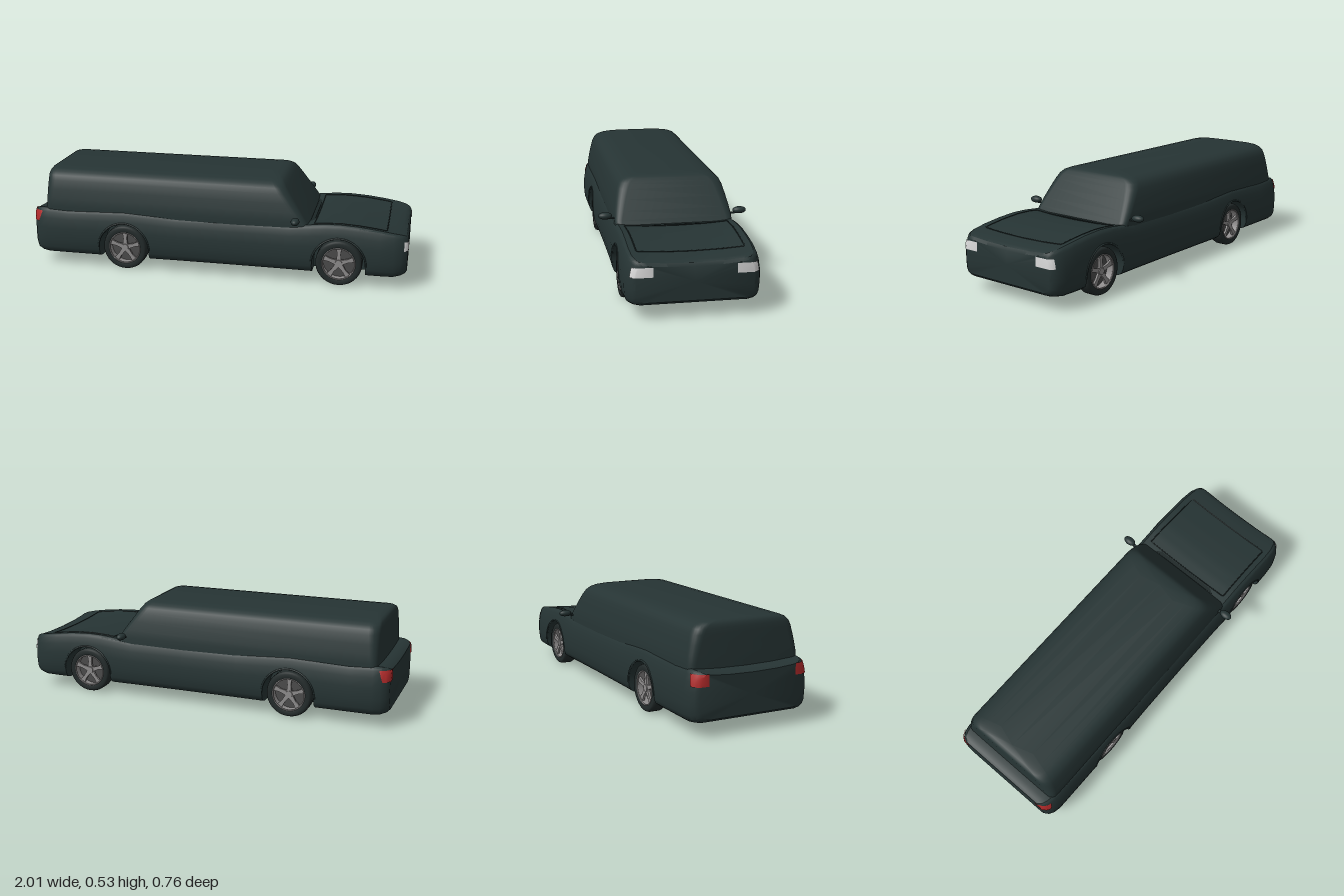
import * as THREE from 'three';
import { toCreasedNormals } from 'three/addons/utils/BufferGeometryUtils.js';

const mat = (name, color, side = THREE.FrontSide) => {
  const m = new THREE.MeshStandardMaterial({ color, side });
  m.name = name;
  return m;
};

// Linear lookup in rows of [key, value, value...]
function lookup(rows, k) {
  if (k <= rows[0][0]) return rows[0].slice(1);
  for (let i = 1; i < rows.length; i++) {
    if (k <= rows[i][0]) {
      const a = rows[i - 1], b = rows[i], f = (k - a[0]) / (b[0] - a[0]);
      return a.slice(1).map((v, n) => v + (b[n + 1] - v) * f);
    }
  }
  return rows[rows.length - 1].slice(1);
}

// Skin over a list of equal-length point rows
function loft(rows, closed, crease) {
  const n = rows[0].length, pos = rows.flat(2), index = [];
  for (let i = 0; i < rows.length - 1; i++) {
    for (let j = 0; j < (closed ? n : n - 1); j++) {
      const a = i * n + j, d = i * n + (j + 1) % n;
      index.push(a, d, a + n, a + n, d, d + n);
    }
  }
  const g = new THREE.BufferGeometry();
  g.setAttribute('position', new THREE.Float32BufferAttribute(pos, 3));
  g.setIndex(index);
  return toCreasedNormals(g, crease);
}

// Stations along the car: x, width scale, underside y, top y
const STATIONS = [
  [-1, 0.86, 0.085, 0.298], [-0.985, 0.93, 0.072, 0.308], [-0.96, 0.975, 0.064, 0.314],
  [-0.92, 1, 0.06, 0.316], [-0.8, 1, 0.06, 0.31], [-0.62, 1, 0.06, 0.316],
  [-0.49, 1, 0.06, 0.32], [-0.34, 1, 0.06, 0.312], [-0.2, 0.99, 0.06, 0.303],
  [0.1, 0.985, 0.06, 0.303], [0.4, 0.99, 0.06, 0.304], [0.5, 1, 0.06, 0.316],
  [0.58, 1, 0.06, 0.324], [0.66, 1, 0.06, 0.326], [0.76, 1, 0.06, 0.32],
  [0.86, 1, 0.06, 0.308], [0.93, 0.985, 0.06, 0.297], [0.97, 0.945, 0.068, 0.289],
  [0.99, 0.895, 0.076, 0.281], [1, 0.85, 0.088, 0.266],
];
// Side contour: height fraction, half width
const SIDE = [
  [0, 0.265], [0.03, 0.295], [0.08, 0.312], [0.17, 0.321], [0.35, 0.325],
  [0.6, 0.324], [0.8, 0.316], [0.92, 0.307], [0.97, 0.301], [1, 0.288],
];
const AXLES = [-0.49, 0.655];
const ARCH = 0.137, AXLE_Y = 0.12;

function sideZ(x, y) {
  const [s, yb, yt] = lookup(STATIONS, x);
  return s * lookup(SIDE, (y - yb) / (yt - yb))[0];
}

function bodyRing(x, archY) {
  const [s, yb, yt] = lookup(STATIONS, x);
  const floor = Math.max(yb, archY);
  const half = [[x, yt - 0.014, 0], [x, yt - 0.011, 0.15 * s], [x, yt - 0.004, 0.255 * s]];
  for (const [t] of [...SIDE].reverse()) {
    const y = Math.max(floor, yb + t * (yt - yb));
    half.push([x, y, sideZ(x, y)]);
  }
  // arch roof, inner well wall, underside
  half.push([x, floor, 0.2 * s], [x, yb, 0.2 * s], [x, yb, 0]);
  const other = half.slice(1, -1).reverse().map(([a, b, c]) => [a, b, -c]);
  return [...half, ...other];
}

function bodyGeometry() {
  const cols = STATIONS.map(r => [r[0], 0])
    .filter(([x]) => AXLES.every(c => Math.abs(x - c) > ARCH));
  for (const c of AXLES) {
    cols.push([c - ARCH, 0]);
    for (let i = 0; i <= 20; i++) {
      const a = Math.PI * i / 20;
      cols.push([c - ARCH * Math.cos(a), AXLE_Y + ARCH * Math.sin(a)]);
    }
    cols.push([c + ARCH, 0]);
  }
  cols.sort((a, b) => Math.abs(a[0] - b[0]) < 1e-6 ? 0 : a[0] - b[0]);
  const rings = cols.map(([x, y]) => bodyRing(x, y));
  const cap = x => rings[0].map(() => [x, 0.18, 0]);
  return loft([cap(-1), ...rings, cap(1)], true, 0.6);
}

// Cabin levels: y, rear x, front x, half width, corner radius
function cabinGeometry() {
  const levels = [
    [0.285, -0.935, 0.505, 0.298, 0.03], [0.33, -0.935, 0.475, 0.299, 0.035],
    [0.37, -0.934, 0.448, 0.293, 0.04], [0.42, -0.933, 0.413, 0.283, 0.045],
    [0.465, -0.932, 0.382, 0.272, 0.05], [0.49, -0.931, 0.364, 0.26, 0.05],
    [0.507, -0.928, 0.351, 0.242, 0.05], [0.518, -0.922, 0.338, 0.215, 0.05],
    [0.524, -0.912, 0.322, 0.175, 0.05], [0.528, -0.895, 0.295, 0.11, 0.05],
    [0.53, -0.88, 0.27, 0, 0],
  ];
  const rows = levels.map(([y, xb, xf, w, r]) => {
    const ring = [];
    [[1, 1], [1, -1], [-1, -1], [-1, 1]].forEach(([sx, sz], q) => {
      const cx = sx > 0 ? xf - r : xb + r, cz = sz * (w - r);
      for (let k = 0; k <= 6; k++) {
        const a = (q + k / 6) * Math.PI / 2;
        ring.push([cx + r * Math.sin(a), y, cz + r * Math.cos(a)]);
      }
    });
    return ring;
  });
  return loft(rows, true, 0.7);
}

// Lamp skin that wraps from an end face round to the side
function lampGeometry(end, zIn, xSide, yLow, yHigh, slant, sign) {
  const rows = [];
  for (let i = 0; i <= 5; i++) {
    const f = i / 5, y = yLow + (yHigh - yLow) * f;
    const row = [[end * 1.003, y, sign * zIn]];
    for (let k = 0; k <= 6; k++) {
      const x = end + (xSide + end * slant * (1 - f) - end) * k / 6;
      row.push([x + end * 0.003, y, sign * (sideZ(x, y) + 0.004)]);
    }
    rows.push(row);
  }
  return loft(rows, false, 0.6);
}

export function createModel() {
  const paint = mat('dark paint', 0x263434);
  const trim = mat('dark trim', 0x1b2525);
  const rubber = mat('tyre rubber', 0x222a2a);
  const alloy = mat('alloy', 0x8e8c8c, THREE.DoubleSide);
  const shade = mat('rim shade', 0x4c4c4c);
  const clear = mat('headlight', 0xdcdcdc, THREE.DoubleSide);
  const red = mat('tail light', 0xb02a2a, THREE.DoubleSide);

  const car = new THREE.Group();
  car.name = 'car';
  const add = (parent, name, geo, material, x = 0, y = 0, z = 0) => {
    const m = new THREE.Mesh(geo, material);
    m.name = name;
    m.position.set(x, y, z);
    parent.add(m);
    return m;
  };

  add(car, 'body', bodyGeometry(), paint);
  add(car, 'cabin', cabinGeometry(), paint);

  // Hood seam and cowl
  const seam = new THREE.CurvePath();
  const corners = [[0.52, -0.26], [0.89, -0.255], [0.89, 0.255], [0.52, 0.26]].map(([x, z]) => [x, z]);
  const hoodPoint = (x, z) => {
    const yt = lookup(STATIONS, x)[2];
    const drop = lookup([[0, 0.014], [0.15, 0.011], [0.255, 0.004], [0.288, 0]], Math.abs(z))[0];
    return new THREE.Vector3(x, yt - drop, z);
  };
  corners.forEach(([x, z], i) => {
    const [x2, z2] = corners[(i + 1) % 4];
    for (let k = 0; k < 8; k++) {
      const p = f => hoodPoint(x + (x2 - x) * f, z + (z2 - z) * f);
      seam.add(new THREE.LineCurve3(p(k / 8), p((k + 1) / 8)));
    }
  });
  add(car, 'hoodSeam', new THREE.TubeGeometry(seam, 128, 0.003, 5, true), trim);
  add(car, 'cowl', new THREE.BoxGeometry(0.02, 0.008, 0.5), trim, 0.503, 0.304, 0);

  // Wheel shapes, axis along z after turning
  const tyreGeo = new THREE.LatheGeometry([[0.084, -0.034], [0.09, -0.038], [0.108, -0.039],
    [0.116, -0.034], [0.12, -0.024], [0.12, 0.024], [0.116, 0.034], [0.108, 0.039],
    [0.09, 0.038], [0.084, 0.034]].map(p => new THREE.Vector2(...p)), 40).rotateX(Math.PI / 2);
  const barrelGeo = new THREE.CylinderGeometry(0.085, 0.085, 0.066, 40, 1, true).rotateX(Math.PI / 2);
  const spokeShape = new THREE.Shape([[-0.013, 0.012], [0.013, 0.012], [0.009, 0.05], [0.014, 0.083],
    [-0.014, 0.083], [-0.009, 0.05]].map(p => new THREE.Vector2(...p)));
  const spokeGeo = new THREE.ExtrudeGeometry(spokeShape, { depth: 0.012, bevelEnabled: false });

  for (const sign of [1, -1]) {
    const side = sign > 0 ? 'right' : 'left';
    AXLES.forEach((x, i) => {
      const wheel = new THREE.Group();
      wheel.name = `${side}${i ? 'Front' : 'Rear'}Wheel`;
      wheel.position.set(x, AXLE_Y, sign * 0.268);
      if (sign < 0) wheel.rotation.y = Math.PI;
      add(wheel, 'tyre', tyreGeo, rubber);
      add(wheel, 'rimBarrel', barrelGeo, alloy);
      add(wheel, 'rimLip', new THREE.TorusGeometry(0.084, 0.004, 8, 40), alloy, 0, 0, 0.034);
      add(wheel, 'rimBack', new THREE.CylinderGeometry(0.084, 0.084, 0.01, 32).rotateX(Math.PI / 2), shade, 0, 0, -0.012);
      add(wheel, 'hub', new THREE.CylinderGeometry(0.018, 0.022, 0.02, 20).rotateX(Math.PI / 2), alloy, 0, 0, 0.022);
      for (let k = 0; k < 5; k++) {
        add(wheel, 'spoke', spokeGeo, alloy, 0, 0, 0.016).rotation.z = k * Math.PI * 0.4;
      }
      car.add(wheel);
      // Raised lip following the wheel arch
      const lip = [];
      for (let k = 0; k <= 20; k++) {
        const a = Math.PI * k / 20, r = ARCH + 0.003;
        const px = x + r * Math.cos(a), py = AXLE_Y + r * Math.sin(a);
        lip.push(new THREE.Vector3(px, py, sign * (sideZ(px, py) - 0.001)));
      }
      add(car, 'archLip', new THREE.TubeGeometry(new THREE.CatmullRomCurve3(lip), 40, 0.005, 6), paint);
    });

    // Mirror on a short stalk
    add(car, `${side}Mirror`, new THREE.SphereGeometry(1, 24, 16), paint, 0.432, 0.345, sign * 0.345)
      .scale.set(0.022, 0.018, 0.035);
    add(car, `${side}MirrorStalk`, new THREE.BoxGeometry(0.016, 0.006, 0.07), paint, 0.432, 0.332, sign * 0.315);

    add(car, `${side}Headlight`, lampGeometry(1, 0.195, 0.978, 0.21, 0.257, 0, sign), clear);
    add(car, `${side}TailLight`, lampGeometry(-1, 0.235, -0.945, 0.243, 0.3, 0.02, sign), red);
  }
  return car;
}
